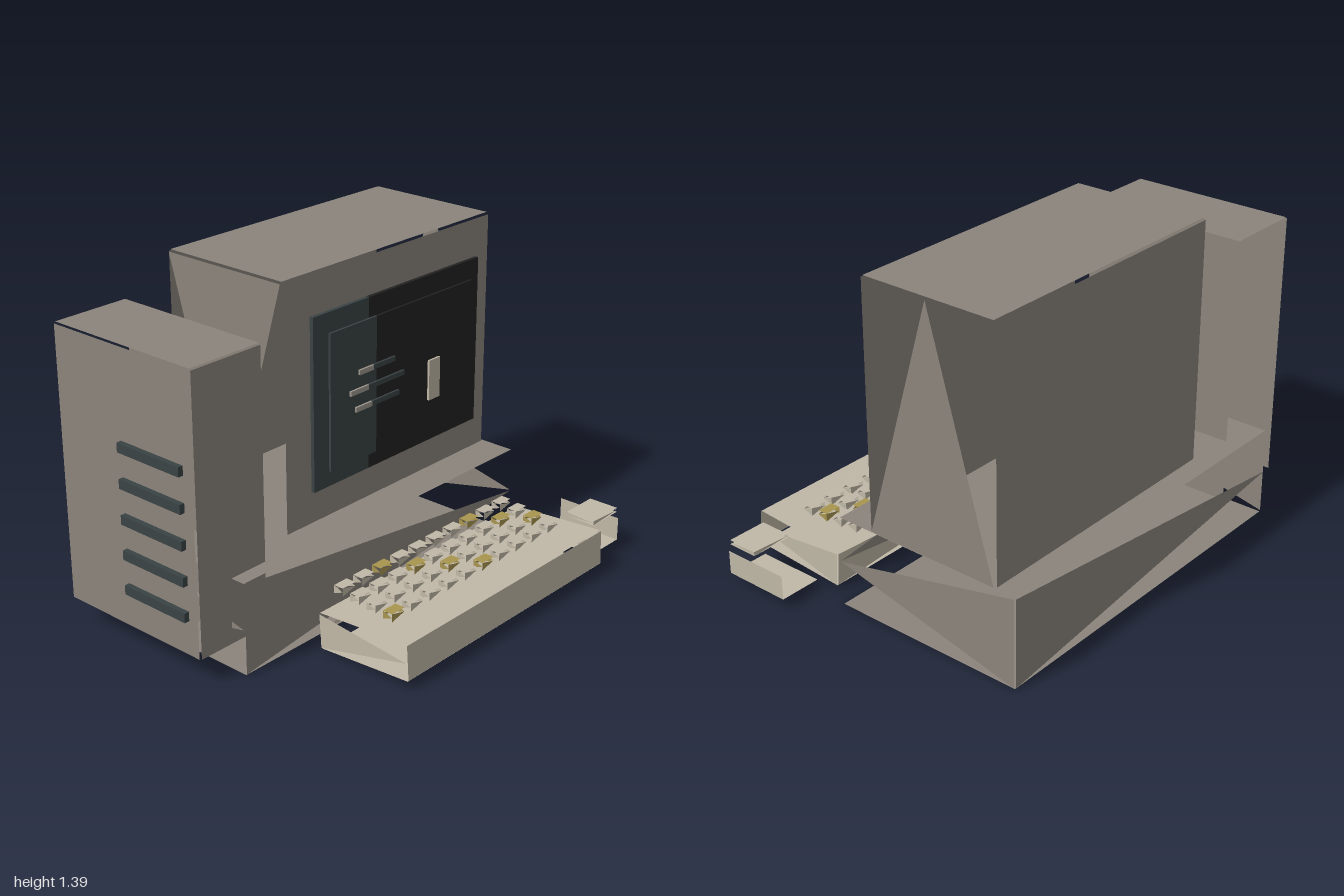
import * as THREE from 'three';
import { mergeGeometries } from 'three/addons/utils/BufferGeometryUtils.js';

const mat = (name, color) => {
  const m = new THREE.MeshStandardMaterial({ color, side: THREE.DoubleSide });
  m.name = name;
  return m;
};

// One flat panel: a full rectangle, or a triangle that is wide on one edge
// and runs to the middle of the opposite edge.
function panel(w, h, mode) {
  const a = w / 2, b = h / 2;
  const points = {
    full: [[-a, -b], [a, -b], [a, b], [-a, b]],
    wideMinus: [[-a, -b], [a, 0], [-a, b]],
    widePlus: [[a, b], [-a, 0], [a, -b]],
    wideBottom: [[-a, -b], [a, -b], [0, b]],
    wideTop: [[a, b], [-a, b], [0, -b]],
  }[mode];
  return new THREE.ShapeGeometry(new THREE.Shape(points.map(p => new THREE.Vector2(...p))));
}

// Thin-walled box made of separate panels, with small open seams along its edges.
function panelBox([w, h, d], faces, seam = 0) {
  const s = seam * 2, list = [];
  for (const [face, mode] of Object.entries(faces)) {
    let g;
    if (face === 'front' || face === 'back') {
      g = panel(w - s, h - s, mode);
      g.translate(0, 0, face === 'front' ? d / 2 : -d / 2);
    } else if (face === 'left' || face === 'right') {
      g = panel(d - s, h - s, mode).rotateY(-Math.PI / 2);
      g.translate(face === 'left' ? w / 2 : -w / 2, 0, 0);
    } else {
      g = panel(w - s, d - s, mode).rotateX(Math.PI / 2);
      g.translate(0, face === 'top' ? h / 2 : -h / 2, 0);
    }
    list.push(g);
  }
  return mergeGeometries(list);
}

export function createModel() {
  const model = new THREE.Group();
  model.name = 'desktopComputer';

  const casing = mat('casing grey', 0x8b847b);
  const beige = mat('keyboard beige', 0xc0b8a7);
  const gold = mat('accent gold', 0xa8954f);
  const black = mat('screen black', 0x222222);
  const teal = mat('dark teal', 0x3a4345);
  const pale = mat('text grey', 0x9c958c);

  const add = (name, geometry, material, x, y, z, parent = model) => {
    const mesh = new THREE.Mesh(geometry, material);
    mesh.name = name;
    mesh.position.set(x, y, z);
    parent.add(mesh);
    return mesh;
  };
  // Plain box given by its x and y limits
  const slab = (name, material, x0, x1, y0, y1, z, depth) =>
    add(name, new THREE.BoxGeometry(x1 - x0, y1 - y0, depth), material, (x0 + x1) / 2, (y0 + y1) / 2, z);

  // Base, monitor and tower
  add('base', panelBox([1.6, 0.38, 0.85], {
    top: 'full', bottom: 'full', front: 'wideMinus', back: 'widePlus', left: 'wideMinus', right: 'wideMinus',
  }, 0.004), casing, 0, 0.21, -0.255);
  add('monitorCase', panelBox([1.212, 1.018, 0.6], {
    top: 'full', front: 'full', back: 'full', left: 'wideBottom', right: 'wideTop',
  }, 0.008), casing, 0.187, 0.901, -0.286);
  add('tower', panelBox([0.346, 1.134, 0.716], {
    top: 'full', front: 'full', left: 'full', right: 'full',
  }, 0.006), casing, -0.788, 0.692, -0.255);

  // Vent bars on the tower
  for (let i = 0; i < 5; i++) {
    add('ventBar', new THREE.BoxGeometry(0.022, 0.038, 0.32), teal, -0.989, 0.308 + i * 0.1435, -0.09);
  }

  // Screen with a lighter left half
  slab('screenSurroundLeft', teal, -0.3, 0.01, 0.55, 1.255, 0.046, 0.016);
  slab('screenSurroundRight', black, 0.01, 0.675, 0.55, 1.255, 0.046, 0.016);
  slab('screenLeft', teal, -0.23, 0.03, 0.62, 1.18, 0.071, 0.01);
  slab('screenRight', black, 0.03, 0.61, 0.62, 1.18, 0.071, 0.01);

  // Lines on the screen: start, change of colour, end, height
  for (const [x0, x1, x2, y] of [[-0.08, 0, 0.125, 0.985], [-0.13, -0.03, 0.18, 0.912], [-0.1, -0.01, 0.15, 0.838]]) {
    slab('screenLineStart', pale, x0, x1, y - 0.01, y + 0.01, 0.085, 0.009);
    slab('screenLineEnd', teal, x1, x2, y - 0.01, y + 0.01, 0.085, 0.009);
  }
  slab('screenCursor', beige, 0.333, 0.4, 0.745, 0.915, 0.085, 0.009);

  // Keyboard body, slightly tilted
  const keyboard = add('keyboard', panelBox([1.23, 0.15, 0.43], {
    top: 'full', bottom: 'full', front: 'full', back: 'widePlus', left: 'wideMinus', right: 'wideMinus',
  }, 0.004), beige, 0.125, 0.122, 0.466);
  keyboard.rotation.x = -0.066;

  // Keys, back row first
  const keyGeometry = panelBox([0.07, 0.034, 0.044], {
    top: 'full', front: 'wideMinus', back: 'widePlus', left: 'wideMinus', right: 'wideMinus',
  });
  const keys = new THREE.Group();
  keys.name = 'keys';
  model.add(keys);
  for (let row = 0; row < 4; row++) {
    for (let col = 0; col < 10; col++) {
      const accent = col % 5 === (row + 2) % 5;
      add(accent ? 'accentKey' : 'key', keyGeometry, accent ? gold : beige,
        -0.365 + col * 0.1075, 0.247 - row * 0.006, 0.266 + row * 0.081, keys);
    }
  }

  // Mouse with its button plate
  add('mouseBody', panelBox([0.18, 0.1, 0.292], { left: 'full', bottom: 'full' }), beige, 0.875, 0.11, 0.465);
  add('mouseButton', panelBox([0.172, 0.018, 0.135], {
    top: 'full', bottom: 'full', front: 'wideMinus', back: 'widePlus', left: 'wideMinus', right: 'wideMinus',
  }), beige, 0.875, 0.199, 0.537);

  return model;
}
